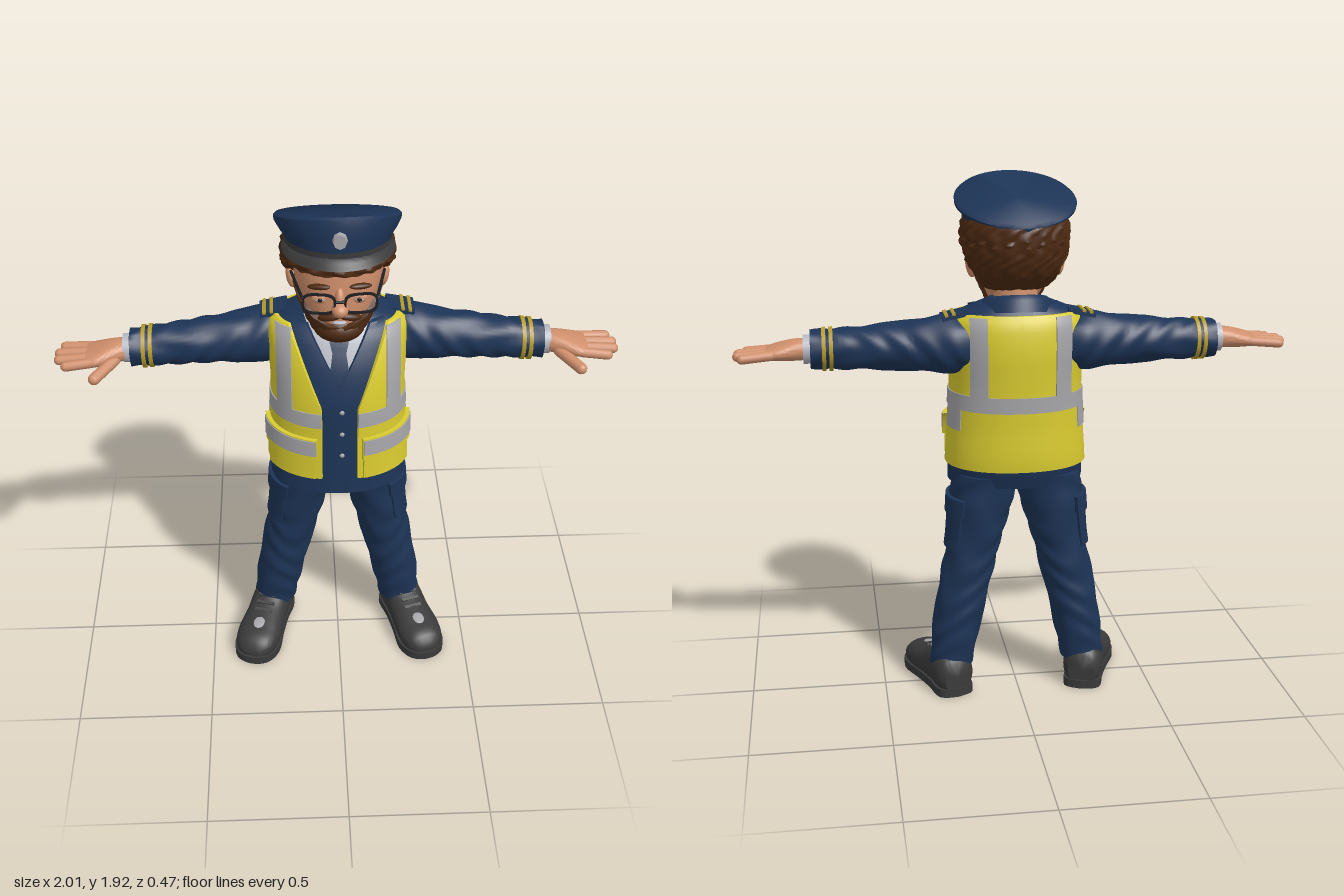
import * as THREE from 'three';
import { toCreasedNormals } from 'three/addons/utils/BufferGeometryUtils.js';

const paint = (name, color) => new THREE.MeshStandardMaterial({ name, color, side: THREE.DoubleSide });
const navy = paint('navy cloth', 0x1d3456), yellow = paint('yellow vest', 0xd9cb30);
const silver = paint('silver strip', 0xa6a6aa), skin = paint('skin', 0xcf8f6c);
const brown = paint('brown hair', 0x4d2a12), charcoal = paint('charcoal leather', 0x3a3a3a);
const black = paint('black', 0x1f1f22), gold = paint('gold braid', 0xb59a2c), white = paint('shirt', 0xb4b7c0);

const PI = Math.PI, rad = d => d * PI / 180;
const pw = (v, e) => Math.sign(v) * Math.pow(Math.abs(v), e);
const lerp = THREE.MathUtils.lerp, clamp = THREE.MathUtils.clamp;

function mesh(name, geo, mat, pos = [0, 0, 0], scale = [1, 1, 1], rot = [0, 0, 0]) {
  const m = new THREE.Mesh(geo, mat);
  m.name = name;
  m.position.set(...pos); m.scale.set(...scale); m.rotation.set(...rot);
  return m;
}
const ball = (name, mat, pos, scale, rot) => mesh(name, new THREE.SphereGeometry(1, 20, 14), mat, pos, scale, rot);
const box = (name, mat, pos, size, rot) => mesh(name, new THREE.BoxGeometry(...size), mat, pos, [1, 1, 1], rot);

// Grid of points from fn(i, j), with sharp edges kept
function grid(name, mat, nu, nv, fn, closed = false) {
  const pos = [], idx = [], w = closed ? nu : nu + 1;
  for (let j = 0; j <= nv; j++) for (let i = 0; i < w; i++) pos.push(...fn(i, j));
  for (let j = 0; j < nv; j++) for (let i = 0; i < nu; i++) {
    const k = (i + 1) % w, a = j * w + i, b = a + w, c = j * w + k, d = c + w;
    idx.push(a, b, c, b, d, c);
  }
  const g = new THREE.BufferGeometry();
  g.setAttribute('position', new THREE.Float32BufferAttribute(pos, 3));
  g.setIndex(idx);
  return mesh(name, toCreasedNormals(g, 0.8), mat);
}

// Smooth interpolation through section rows [t, centreA, radiusA, centreB, radiusB]
function section(rows, t) {
  const n = rows.length - 1;
  let k = 0;
  while (k < n - 1 && t > rows[k + 1][0]) k++;
  const p = rows[k], q = rows[k + 1], o = rows[Math.max(k - 1, 0)], r = rows[Math.min(k + 2, n)];
  const h = q[0] - p[0], u = clamp((t - p[0]) / h, 0, 1), u2 = u * u, u3 = u2 * u;
  return p.map((_, c) => {
    const m0 = (q[c] - o[c]) / (q[0] - o[0]) * h, m1 = (r[c] - p[c]) / (r[0] - p[0]) * h;
    return (2 * u3 - 3 * u2 + 1) * p[c] + (u3 - 2 * u2 + u) * m0 + (3 * u2 - 2 * u3) * q[c] + (u3 - u2) * m1;
  });
}
function surface(rows, e = 1, alongX = false) {
  const f = (th, t, off = 0, s = 1) => {
    const r = section(rows, t);
    const a = r[1] + (r[2] + off) * pw(Math.cos(th), e) * s, b = (r[4] + off) * pw(Math.sin(th), e) * s;
    return alongX ? [t, a, r[3] - b] : [a, t, r[3] + b];
  };
  f.t0 = rows[0][0]; f.t1 = rows[rows.length - 1][0];
  f.theta = (x, y) => Math.acos(Math.pow(clamp(x / section(rows, y)[2], 0, 1), 1 / e));
  return f;
}
// Closed body with end caps; wrinkle is the depth of the cloth folds
function loft(name, mat, f, nv = 30, wrinkle = 0, tweak = p => p) {
  return grid(name, mat, 40, nv + 2, (i, j) => {
    const th = i / 40 * 2 * PI, t = lerp(f.t0, f.t1, clamp((j - 1) / nv, 0, 1));
    return tweak(f(th, t, wrinkle * Math.sin(t * 48 + 3 * Math.sin(th * 2 + t * 9)), j === 0 || j === nv + 2 ? 0 : 1));
  }, true);
}
// Raised panel on a surface; a(t) and b(t) are its edge angles
function panel(name, mat, f, a, b, t0, t1, off, base = 0, nu = 24, nv = 14) {
  return grid(name, mat, nu + 2, nv + 2, (i, j) => {
    const t = lerp(t0, t1, clamp((j - 1) / nv, 0, 1)), u = clamp((i - 1) / nu, 0, 1);
    const rim = i === 0 || j === 0 || i === nu + 2 || j === nv + 2;
    return f(lerp(a(t), b(t), u), t, rim ? base : off);
  });
}
const deg = d => () => rad(d);
const depth = rows => rows.map(([y, rx, zf, zb]) => [y, 0, rx, (zf + zb) / 2, (zf - zb) / 2]);
const capsule = (name, mat, a, b, r) => {
  const p = new THREE.Vector3(...a), q = new THREE.Vector3(...b), d = q.clone().sub(p);
  const m = mesh(name, new THREE.CapsuleGeometry(r, d.length() - r, 6, 12), mat);
  m.position.copy(p).add(q).multiplyScalar(0.5);
  m.quaternion.setFromUnitVectors(new THREE.Vector3(0, 1, 0), d.normalize());
  return m;
};
// Rounded spectacle rim
const rim = (w, h) => new THREE.Shape(Array.from({ length: 32 }, (_, i) => i / 32 * 2 * PI)
  .map(t => new THREE.Vector2(w * pw(Math.cos(t), 0.6), h * pw(Math.sin(t), 0.6))));

const torso = surface(depth([[0.82, 0.25, 0.197, -0.185], [0.9, 0.247, 0.193, -0.208], [1.05, 0.237, 0.187, -0.207],
  [1.2, 0.23, 0.178, -0.21], [1.32, 0.235, 0.15, -0.213], [1.41, 0.236, 0.108, -0.202], [1.45, 0.212, 0.08, -0.185],
  [1.485, 0.13, 0.05, -0.165], [1.5, 0.09, 0.04, -0.15]]), 0.92);
const head = surface(depth([[1.44, 0.06, 0.13, 0], [1.48, 0.088, 0.158, -0.05], [1.55, 0.12, 0.168, -0.1],
  [1.62, 0.145, 0.168, -0.14], [1.68, 0.155, 0.165, -0.158], [1.75, 0.155, 0.155, -0.16], [1.8, 0.13, 0.13, -0.14]]), 0.92);
const sleeve = surface([[0.16, 1.34, 0.085, -0.085, 0.09], [0.25, 1.342, 0.106, -0.085, 0.1], [0.35, 1.338, 0.094, -0.073, 0.09],
  [0.5, 1.332, 0.081, -0.058, 0.08], [0.62, 1.327, 0.074, -0.045, 0.072], [0.735, 1.325, 0.069, -0.033, 0.066]], 1, true);
const leg = surface([[0.11, 0.252, 0.08, -0.065, 0.08], [0.2, 0.238, 0.086, -0.063, 0.088], [0.3, 0.222, 0.091, -0.06, 0.098],
  [0.45, 0.191, 0.096, -0.055, 0.105], [0.6, 0.158, 0.1, -0.047, 0.117], [0.75, 0.13, 0.117, -0.042, 0.133],
  [0.86, 0.117, 0.12, -0.03, 0.15]], 0.95);

// Arm, leg and vest half on the model's left
function side() {
  const g = new THREE.Group();
  g.add(loft('sleeve', navy, sleeve, 60, 0.003));
  for (const x of [0.655, 0.68]) g.add(panel('sleeveBraid', gold, sleeve, deg(0), deg(360), x, x + 0.014, 0.007, 0, 36, 2));
  g.add(mesh('shirtCuff', new THREE.CylinderGeometry(0.052, 0.052, 0.06, 28), white, [0.73, 1.325, -0.03], [1, 1, 1], [0, 0, PI / 2]));
  const palm = surface([[0.74, 1.325, 0.038, -0.026, 0.042], [0.79, 1.322, 0.038, -0.018, 0.055],
    [0.85, 1.315, 0.03, -0.01, 0.073], [0.89, 1.311, 0.021, -0.008, 0.072]], 0.9, true);
  g.add(loft('palm', skin, palm, 16));
  [[-0.065, -0.078, 0.982], [-0.028, -0.033, 0.998], [0.01, 0.012, 0.996], [0.046, 0.056, 0.968]].forEach(([z0, z1, x]) =>
    g.add(capsule('finger', skin, [0.86, 1.313, z0], [x, 1.304, z1], 0.018)));
  g.add(capsule('thumb', skin, [0.785, 1.308, 0.015], [0.862, 1.284, 0.12], 0.021));
  // Epaulette
  g.add(box('epaulette', navy, [0.225, 1.447, -0.085], [0.1, 0.016, 0.1], [0, 0, -0.2]));
  for (const x of [0.232, 0.258]) g.add(box('epauletteBraid', gold, [x, 1.456 - (x - 0.225) * 0.2, -0.085], [0.012, 0.008, 0.102], [0, 0, -0.2]));
  // Trouser leg with cargo pocket
  g.add(loft('trouserLeg', navy, leg, 70, 0.003));
  g.add(panel('cargoPocket', navy, leg, deg(-50), deg(58), 0.575, 0.72, 0.01));
  g.add(panel('cargoFlap', navy, leg, deg(-54), deg(62), 0.705, 0.77, 0.016));
  // Shoe, built along x then turned forward
  const shoe = new THREE.Group();
  shoe.name = 'shoe';
  const upper = surface([[-0.09, 0.07, 0.06, 0, 0.05], [-0.06, 0.08, 0.08, 0, 0.072], [0.03, 0.085, 0.085, 0, 0.075],
    [0.1, 0.07, 0.068, 0, 0.078], [0.2, 0.055, 0.056, 0, 0.086], [0.27, 0.045, 0.047, 0, 0.07], [0.3, 0.035, 0.02, 0, 0.035]], 0.9, true);
  shoe.add(loft('shoeUpper', charcoal, upper, 30, 0, p => [p[0], Math.max(p[1], 0.02), p[2]]));
  const outline = new THREE.Shape(new THREE.SplineCurve([[-0.1, 0], [-0.075, 0.066], [0.03, 0.07], [0.12, 0.078], [0.22, 0.09],
    [0.29, 0.062], [0.313, 0], [0.29, -0.062], [0.22, -0.09], [0.12, -0.078], [0.03, -0.07], [-0.075, -0.066], [-0.1, 0]]
    .map(p => new THREE.Vector2(...p))).getPoints(48));
  shoe.add(mesh('sole', new THREE.ExtrudeGeometry(outline, { depth: 0.032, bevelEnabled: false }), charcoal, [0, 0.032, 0], [1, 1, 1], [PI / 2, 0, 0]));
  shoe.add(ball('toeShine', silver, [0.19, 0.112, 0], [0.03, 0.004, 0.022], [0, 0, -0.2]));
  for (const x of [0.07, 0.1, 0.13]) shoe.add(box('lace', charcoal, [x, 0.159 - (x - 0.05) * 0.45, 0], [0.012, 0.012, 0.07], [0, 0, -0.45]));
  shoe.position.set(0.262, 0, -0.065);
  shoe.rotation.y = -PI / 2 + 0.3;
  g.add(shoe);
  // High visibility vest
  const edge = y => torso.theta(y < 1.18 ? 0.062 : 0.062 + (y - 1.18) * 0.38, y);
  const atX = (x, s = 1) => y => s * torso.theta(x, y);
  const strip = (name, a, b, y0, y1, off = 0.016) => g.add(panel(name, silver, torso, a, b, y0, y1, off, 0.008, 40));
  g.add(panel('vestHalf', yellow, torso, deg(-90), edge, 0.89, 1.452, 0.012, 0, 60, 30));
  strip('waistStrip', deg(-90), edge, 1.108, 1.165);
  strip('sideStrip', deg(-33), deg(-3), 1.03, 1.11);
  strip('frontStrip', atX(0.206), atX(0.158), 1.16, 1.445);
  strip('backStrip', atX(0.115, -1), atX(0.17, -1), 1.16, 1.445);
  g.add(panel('vestPocket', yellow, torso, atX(0.232), atX(0.08), 0.895, 0.995, 0.022));
  g.add(panel('vestPocketFlap', yellow, torso, atX(0.236), atX(0.075), 0.975, 1.062, 0.028));
  g.add(panel('pocketStrip', silver, torso, atX(0.235), atX(0.076), 0.998, 1.058, 0.032, 0.027));
  // Lapel
  g.add(panel('lapel', navy, torso, y => torso.theta(Math.min(0.075 + (y - 1.24) * 0.34, 0.07 + (y - 1.2) * 0.6), y),
    y => torso.theta(Math.max(0.002, (y - 1.27) * 0.52), y), 1.2, 1.465, 0.018));
  // Face details
  g.add(ball('ear', skin, [0.16, 1.61, -0.02], [0.018, 0.045, 0.03], [0, 0, -0.15]));
  g.add(ball('eyelid', skin, [0.066, 1.617, 0.152], [0.028, 0.02, 0.014]));
  g.add(ball('eye', white, [0.066, 1.615, 0.158], [0.018, 0.008, 0.01]));
  g.add(ball('pupil', black, [0.066, 1.616, 0.166], [0.008, 0.008, 0.004]));
  g.add(ball('eyebrow', brown, [0.07, 1.665, 0.161], [0.04, 0.01, 0.013], [0, 0.3, -0.08]));
  g.add(ball('moustache', brown, [0.034, 1.553, 0.168], [0.044, 0.014, 0.018], [0, 0.3, -0.25]));
  const frame = rim(0.057, 0.039);
  frame.holes.push(rim(0.05, 0.032));
  g.add(mesh('lensFrame', new THREE.ExtrudeGeometry(frame, { depth: 0.008, bevelEnabled: false }), black, [0.07, 1.617, 0.187], [1, 1, 1], [0, 0.12, 0]));
  g.add(capsule('glassesArm', black, [0.125, 1.635, 0.182], [0.165, 1.638, -0.02], 0.005));
  return g;
}

function cap() {
  const g = new THREE.Group();
  g.name = 'cap';
  // Tilted rings: [y, z, radius x, radius z, tilt]
  const ring = ([y, z, rx, rz, tilt], th, s = 1) => [rx * s * Math.cos(th), y + rz * s * Math.sin(th) * Math.sin(tilt),
    z + rz * s * Math.sin(th) * Math.cos(tilt)];
  const rows = [[1.75, 0, 0.179, 0.192, 0.08], [1.785, -0.004, 0.182, 0.197, 0.11], [1.805, -0.012, 0.2, 0.208, 0.2],
    [1.826, -0.022, 0.215, 0.22, 0.31], [1.84, -0.026, 0.217, 0.22, 0.36], [1.849, -0.028, 0.207, 0.21, 0.36]];
  g.add(grid('capCrown', navy, 56, 7, (i, j) => ring(rows[clamp(j - 1, 0, 5)], i / 56 * 2 * PI, j === 0 || j === 7 ? 0 : 1), true));
  g.add(grid('capStrap', charcoal, 40, 1, (i, j) => ring([1.772 + j * 0.018, 0, 0.186, 0.201, 0.09], rad(lerp(-5, 185, i / 40)))));
  // Visor, drooping and widest at the front
  g.add(grid('visor', charcoal, 36, 5, (i, j) => {
    const th = rad(lerp(2, 178, i / 36)), s = Math.sin(th), k = Math.sin(j / 4 * PI / 2) * Math.min(j, 4) / 4;
    const out = j === 5 ? 0 : (j / 4) * 0.03 * Math.sqrt(s);
    return [(0.183 + out) * Math.cos(th), 1.766 + 0.022 * s - (j === 5 ? 0.013 : 0.032 * k * Math.sqrt(s)), (0.198 + out) * s];
  }));
  g.add(mesh('capBadge', new THREE.CylinderGeometry(0.022, 0.026, 0.014, 8), silver, [0, 1.85, 0.196], [1, 1, 1.2], [PI / 2, 0, 0]));
  return g;
}

export function createModel() {
  const g = new THREE.Group();
  g.name = 'uniformedMan';
  const left = side(), right = side();
  left.name = 'leftSide'; right.name = 'rightSide';
  right.scale.x = -1;
  g.add(left, right, cap());
  // Jacket, shirt and tie
  g.add(loft('jacket', navy, torso, 40));
  const spread = (fn, s) => y => PI / 2 + s * (PI / 2 - torso.theta(fn(y), y));
  const front = (name, mat, fn, y0, y1, off) => g.add(panel(name, mat, torso, spread(fn, -1), spread(fn, 1), y0, y1, off));
  front('shirtFront', white, y => (y - 1.25) * 0.5, 1.27, 1.48, 0.006);
  front('tie', navy, y => 0.036 - Math.max(0, y - 1.29) * 0.14, 1.25, 1.385, 0.015);
  front('tieKnot', navy, y => 0.02 + (y - 1.38) * 0.25, 1.375, 1.43, 0.022);
  front('jacketPlacket', navy, () => 0.018, 0.83, 1.21, 0.006);
  for (const y of [0.99, 1.08, 1.17]) g.add(ball('jacketButton', silver, [0.008, y, section([[0.9, 0.2], [1.2, 0.185]], y)[1]], [0.009, 0.009, 0.006]));
  // Collar, higher at the back
  g.add(grid('collar', navy, 30, 3, (i, j) => {
    const th = rad(lerp(150, 390, i / 30)), r = [0.145, 0.13, 0.108, 0.085][j], s = Math.sin(th);
    return [r * Math.cos(th), [1.44, 1.48, 1.495, 1.47][j] - 0.028 * s, -0.045 + r * 1.08 * s];
  }));
  g.add(mesh('neck', new THREE.CylinderGeometry(0.075, 0.085, 0.12, 24), skin, [0, 1.5, -0.03]));
  // Head, beard and hair
  g.add(loft('head', skin, head, 24));
  g.add(ball('nose', skin, [0, 1.592, 0.188], [0.029, 0.026, 0.036]));
  g.add(ball('noseBridge', skin, [0, 1.622, 0.168], [0.017, 0.042, 0.024], [-0.3, 0, 0]));
  g.add(ball('mouth', white, [0, 1.53, 0.168], [0.024, 0.006, 0.012]));
  g.add(capsule('glassesBridge', black, [-0.018, 1.625, 0.196], [0.018, 1.625, 0.196], 0.005));
  g.add(ball('chinBeard', brown, [0, 1.486, 0.105], [0.09, 0.055, 0.082]));
  const curl = (th, y) => 0.006 * Math.sin(th * 17 + 3 * Math.sin(y * 50)) * Math.sin(y * 90 + th * 5);
  g.add(grid('beard', brown, 72, 14, (i, j) => {
    const u = i / 72, th = rad(lerp(-8, 188, u)), d = Math.abs(u * 2 - 1), v = j / 14;
    const y = lerp(1.445, 1.518 + 0.125 * Math.pow(d, 1.7), v);
    return head(th, y, j === 14 || i === 0 || i === 72 ? -0.004 : 0.014 + curl(th, y) * 0.6);
  }));
  g.add(grid('hair', brown, 120, 20, (i, j) => {
    const th = i / 120 * 2 * PI, s = Math.sin(th), v = j / 20;
    const low = s > 0 ? lerp(1.655, 1.7, Math.min(1, s * 2)) : lerp(1.655, 1.52, Math.min(1, -s * 2));
    const y = lerp(low, 1.775, v);
    return head(th, y, j === 0 ? -0.004 : lerp(0.038, 0.014, Math.max(0, s)) * Math.min(1, 0.5 + v * 2) + curl(th, y));
  }, true));
  return g;
}
